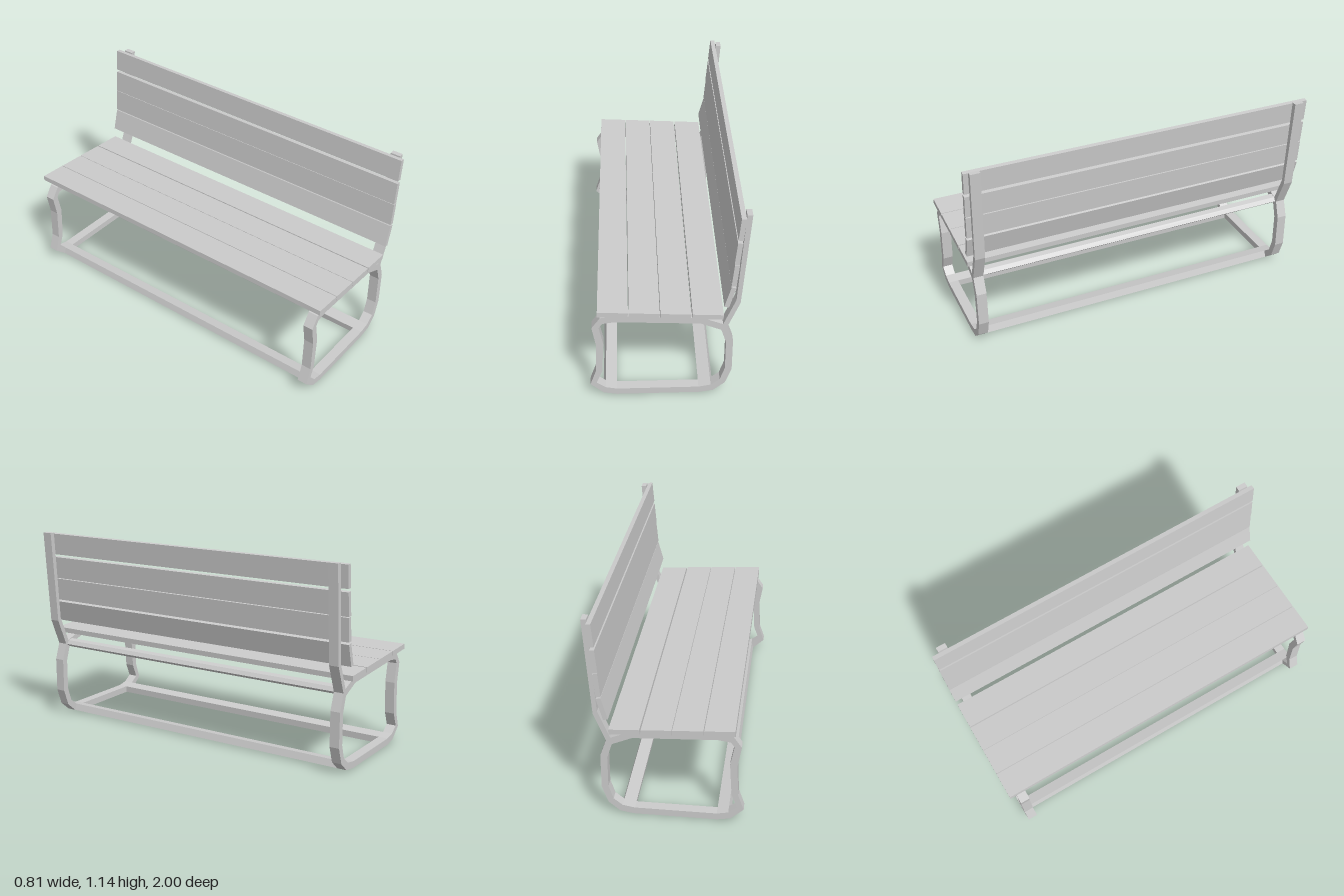
import * as THREE from 'three';

const material = new THREE.MeshStandardMaterial({ color: 0xcccccc, flatShading: true, side: THREE.DoubleSide });
const toPoints = (list) => list.map(([x, y]) => new THREE.Vector2(x, y));

// Extrudes an x-y outline between two z positions
function extrude(name, outline, z0, z1, hole) {
  const shape = new THREE.Shape(toPoints(outline));
  if (hole) shape.holes.push(new THREE.Path(toPoints(hole)));
  const geometry = new THREE.ExtrudeGeometry(shape, { depth: z1 - z0, bevelEnabled: false });
  geometry.translate(0, 0, z0);
  const mesh = new THREE.Mesh(geometry, material);
  mesh.name = name;
  return mesh;
}

// Board whose section is a tilted rectangle, from start to end of one face
function slat(name, [ax, ay], [bx, by], thickness, z0, z1) {
  const length = Math.hypot(bx - ax, by - ay);
  const nx = ((by - ay) / length) * thickness;
  const ny = (-(bx - ax) / length) * thickness;
  return extrude(name, [[ax, ay], [ax + nx, ay + ny], [bx + nx, by + ny], [bx, by]], z0, z1);
}

export function createModel() {
  const bench = new THREE.Group();
  bench.name = 'bench';

  // Bent side frames: a closed leg loop with the back post rising from it
  const frameOuter = [
    [-0.345, 0.525], [-0.27, 0.535], [0.175, 0.512], [0.283, 0.468],
    [0.345, 0.622], [0.377, 1.138], [0.405, 1.138], [0.367, 0.605], [0.305, 0.45],
    [0.338, 0.355], [0.338, 0.16], [0.305, 0.065], [0.243, 0.012], [0.17, 0],
    [-0.27, 0], [-0.34, 0.013], [-0.408, 0.075], [-0.377, 0.165], [-0.37, 0.345], [-0.39, 0.46],
  ];
  const frameInner = [
    [-0.335, 0.487], [-0.27, 0.497], [0.17, 0.475], [0.275, 0.43],
    [0.302, 0.345], [0.302, 0.167], [0.277, 0.088], [0.23, 0.05], [0.165, 0.038],
    [-0.268, 0.038], [-0.328, 0.05], [-0.375, 0.085], [-0.343, 0.165], [-0.332, 0.35], [-0.353, 0.46],
  ];
  bench.add(extrude('leftSideFrame', frameOuter, 0.918, 0.974, frameInner));
  bench.add(extrude('rightSideFrame', frameOuter, -0.96, -0.905, frameInner));

  // Rails joining the two frames
  const rails = {
    backFloorRail: [[0.17, 0], [0.243, 0.012], [0.23, 0.05], [0.165, 0.038]],
    frontFloorRail: [[-0.34, 0.013], [-0.27, 0], [-0.268, 0.038], [-0.328, 0.05]],
    seatRail: [[0.24, 0.445], [0.275, 0.43], [0.295, 0.447], [0.28, 0.468], [0.25, 0.475]],
  };
  for (const [name, outline] of Object.entries(rails)) {
    bench.add(extrude(name, outline, -0.91, 0.92));
  }

  // Seat slats, sloping down toward the backrest
  const seatTop = (x) => 0.578 - 0.0546 * (x + 0.358);
  [[-0.358, -0.202], [-0.198, -0.041], [-0.038, 0.118], [0.125, 0.283]].forEach(([a, b], i) => {
    bench.add(slat(`seatSlat${i + 1}`, [a, seatTop(a)], [b, seatTop(b)], 0.029, -1, 0.994));
  });

  // Backrest slats, the lowest one tilted with the bend of the post
  const backSlats = [
    [[0.282, 0.604], [0.315, 0.725]],
    [[0.314, 0.733], [0.326, 0.862]],
    [[0.324, 0.866], [0.336, 0.993]],
    [[0.337, 1.01], [0.348, 1.134]],
  ];
  backSlats.forEach(([a, b], i) => {
    bench.add(slat(`backSlat${i + 1}`, a, b, 0.025, -1, 1));
  });

  return bench;
}
